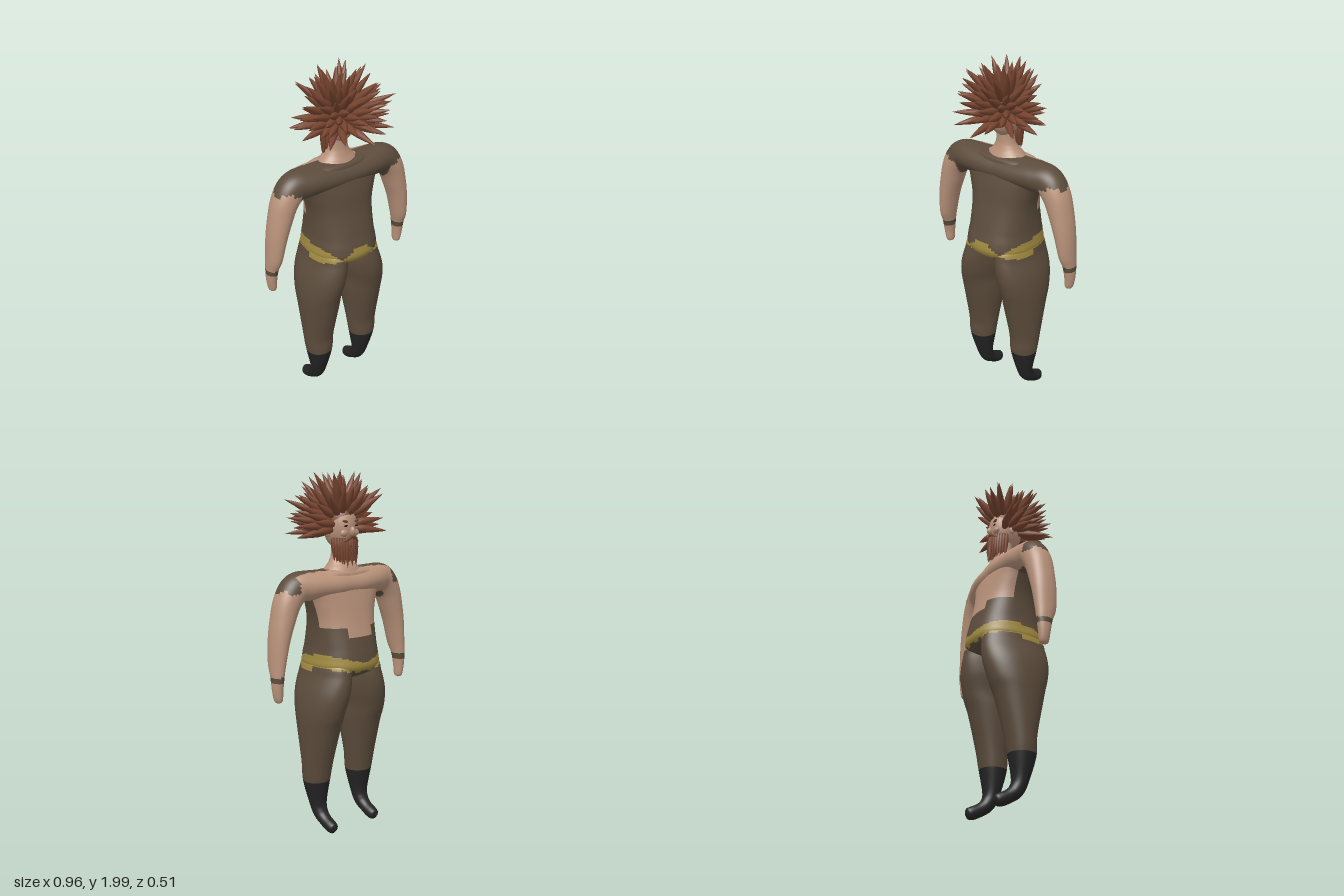
import * as THREE from 'three';

const mat = (name, color) => {
  const m = new THREE.MeshStandardMaterial({ color });
  m.name = name;
  return m;
};
const V = (x, y, z) => new THREE.Vector3(x, y, z);

// Which colour a point of the body has: 0 suit, 1 skin, 2 belt, 3 boots
function paint(x, y, z) {
  const ax = Math.abs(x);
  if (y < 0.292) return 3;
  if (ax > 0.3) { // sleeves, bare arms and wristbands
    if (y > 0.905 && y < 0.935) return 0;
    const cut = 1.365 + (Math.sin(z * 75) > 0 ? 0.02 : 0);
    if (y < cut) return 1;
  }
  if (ax < 0.3 && y < 1.05) { // belt with a pointed outline
    let top, bottom;
    if (z > -0.045) {
      const k = Math.min(1, Math.abs(ax - 0.11) / 0.08);
      top = 0.95 + 0.06 * k;
      bottom = 0.945 - (ax < 0.11 ? 0.045 : 0.02) * k;
    } else {
      top = 0.975 + 0.045 * Math.min(1, ax / 0.17);
      bottom = 0.92 + 0.02 * Math.min(1, ax / 0.17) + (Math.sin(ax * 110) > 0 ? 0.012 : 0);
    }
    return y > bottom && y < top ? 2 : 0;
  }
  // Open chest and neckline
  if (z < -0.08 && ax < 0.33 && y > (ax < 0.08 ? 1.11 : 1.16)) return 1;
  if (y > 1.45 && (x / 0.11) ** 2 + ((z + 0.06) / 0.08) ** 2 < 1) return 1;
  return 0;
}

// Smooth skin through stations [x, y, z, radius across, radius in depth]
function loft(stations, { power = 1, forwardBend = false, side = 1, colour = paint } = {}) {
  const path = new THREE.CatmullRomCurve3(stations.map(s => V(s[0] * side, s[1], s[2])), false, 'catmullrom');
  const size = new THREE.CatmullRomCurve3(stations.map(s => V(s[3], s[4], 0)), false, 'catmullrom');
  const rows = (stations.length - 1) * 8, n = 64;
  const pos = [], buckets = [[], [], [], []];
  const bend = c => Math.sign(c) * Math.abs(c) ** power;
  for (let i = 0; i <= rows; i++) {
    const t = i / rows, c = path.getPoint(t), r = size.getPoint(t), T = path.getTangent(t);
    const u = V(1, 0, 0), v = V(0, 0, 1);
    if (forwardBend) v.crossVectors(u, T).normalize();
    else u.crossVectors(T, v).normalize();
    for (let j = 0; j < n; j++) {
      const a = j / n * Math.PI * 2;
      const p = c.clone()
        .addScaledVector(u, Math.max(r.x, 0.001) * bend(Math.cos(a)))
        .addScaledVector(v, Math.max(r.y, 0.001) * bend(Math.sin(a)));
      pos.push(p.x, p.y, p.z);
    }
  }
  for (let i = 0; i < rows; i++) for (let j = 0; j < n; j++) {
    const a = i * n + j, b = i * n + (j + 1) % n, c = a + n, d = b + n;
    const mid = k => (pos[a * 3 + k] + pos[b * 3 + k] + pos[c * 3 + k] + pos[d * 3 + k]) / 4;
    buckets[colour(mid(0), mid(1), mid(2))].push(a, c, b, b, c, d);
  }
  const g = new THREE.BufferGeometry();
  g.setAttribute('position', new THREE.Float32BufferAttribute(pos, 3));
  g.setIndex(buckets.flat());
  let start = 0;
  buckets.forEach((b, k) => { if (b.length) g.addGroup(start, b.length, k); start += b.length; });
  g.computeVertexNormals();
  return g;
}

export function createModel() {
  const model = new THREE.Group();
  model.name = 'figure';
  const suit = mat('suit brown', 0x5c4c3c), skin = mat('skin', 0xb8927a), gold = mat('belt gold', 0xa08a40);
  const boot = mat('boot black', 0x242424), hair = mat('hair red brown', 0x784530), dark = mat('eye dark', 0x2e211b);
  const bodyMats = [suit, skin, gold, boot];
  const add = (name, geo, material, parent = model) => {
    const m = new THREE.Mesh(geo, material);
    m.name = name;
    parent.add(m);
    return m;
  };

  // Torso
  add('torso', loft([
    [0, 0.85, -0.045, 0.001, 0.001], [0, 0.87, -0.045, 0.05, 0.08], [0, 0.91, -0.045, 0.15, 0.175],
    [0, 0.95, -0.045, 0.195, 0.208], [0, 1.0, -0.045, 0.195, 0.205], [0, 1.07, -0.047, 0.188, 0.188],
    [0, 1.2, -0.047, 0.192, 0.154], [0, 1.3, -0.046, 0.22, 0.133], [0, 1.37, -0.047, 0.25, 0.115],
    [0, 1.43, -0.05, 0.235, 0.098], [0, 1.465, -0.052, 0.17, 0.08], [0, 1.478, -0.055, 0.001, 0.001],
  ], { power: 0.85 }), bodyMats);

  for (const side of [1, -1]) {
    const label = side > 0 ? 'left' : 'right';
    // Leg and boot, from toe to hip
    add(label + 'Leg', loft([
      [0.155, 0.034, -0.184, 0.001, 0.001], [0.155, 0.037, -0.172, 0.026, 0.028], [0.155, 0.043, -0.145, 0.034, 0.035],
      [0.155, 0.066, -0.098, 0.036, 0.035], [0.155, 0.1, -0.058, 0.042, 0.04], [0.156, 0.16, -0.035, 0.052, 0.046],
      [0.158, 0.29, -0.025, 0.078, 0.075], [0.157, 0.4, -0.032, 0.09, 0.088], [0.15, 0.6, -0.037, 0.11, 0.138],
      [0.147, 0.7, -0.042, 0.113, 0.17], [0.13, 0.8, -0.044, 0.115, 0.193], [0.11, 0.9, -0.045, 0.1, 0.192],
      [0.1, 0.98, -0.045, 0.085, 0.16], [0.09, 1.05, -0.045, 0.001, 0.001],
    ], { forwardBend: true, side }), bodyMats);
    // Arm, from hand to shoulder
    add(label + 'Arm', loft([
      [0.443, 0.79, -0.057, 0.001, 0.001], [0.444, 0.803, -0.057, 0.02, 0.025], [0.448, 0.86, -0.056, 0.028, 0.034],
      [0.446, 0.93, -0.052, 0.032, 0.045], [0.438, 1.0, -0.04, 0.04, 0.06], [0.42, 1.12, -0.036, 0.052, 0.07],
      [0.395, 1.22, -0.035, 0.063, 0.075], [0.36, 1.32, -0.035, 0.074, 0.079], [0.305, 1.384, -0.037, 0.083, 0.084],
      [0.22, 1.394, -0.043, 0.08, 0.105], [0.1, 1.391, -0.05, 0.08, 0.12], [0, 1.39, -0.05, 0.08, 0.12],
    ], { side }), bodyMats);
  }

  // Neck
  add('neck', loft([
    [0, 1.45, -0.055, 0.13, 0.09], [0, 1.48, -0.055, 0.1, 0.075], [0, 1.51, -0.05, 0.073, 0.058],
    [0, 1.55, -0.045, 0.056, 0.045], [0, 1.64, -0.045, 0.052, 0.045],
  ], { colour: () => 1 }), bodyMats);

  // Head, scalp and ears
  const centre = V(0, 1.7, -0.04);
  const head = new THREE.Group();
  head.name = 'head';
  model.add(head);
  const blob = (name, p, s, material) => {
    const m = add(name, new THREE.SphereGeometry(1, 24, 16), material, head);
    m.position.set(...p);
    m.scale.set(...s);
    return m;
  };
  blob('skull', centre.toArray(), [0.085, 0.128, 0.1], skin);
  const scalp = add('scalp', new THREE.SphereGeometry(1, 32, 16, 0, Math.PI * 2, 0, Math.PI * 0.5).rotateX(0.5), hair, head);
  scalp.position.copy(centre);
  scalp.scale.set(0.09, 0.134, 0.105);
  blob('nose', [0, 1.675, -0.14], [0.014, 0.025, 0.02], skin);
  blob('jawHair', [0, 1.61, -0.085], [0.07, 0.045, 0.055], hair);
  for (const s of [1, -1]) {
    blob('ear', [0.085 * s, 1.67, -0.04], [0.012, 0.03, 0.018], skin);
    blob('cheek', [0.038 * s, 1.665, -0.12], [0.025, 0.02, 0.016], skin);
    blob('eye', [0.034 * s, 1.703, -0.131], [0.015, 0.005, 0.004], dark);
    blob('eyebrow', [0.036 * s, 1.727, -0.128], [0.022, 0.007, 0.007], hair).rotation.z = 0.2 * s;
  }

  // Tapered strand used for hair and beard
  const strand = new THREE.LatheGeometry(
    [[0.6, 0], [0.95, 0.18], [1, 0.35], [0.75, 0.6], [0.38, 0.83], [0, 1]].map(p => new THREE.Vector2(...p)), 8);
  const spike = (name, from, to, radius, parent) => {
    const m = add(name, strand, hair, parent);
    const d = to.clone().sub(from), len = d.length();
    m.position.copy(from);
    m.scale.set(radius, len, radius);
    m.quaternion.setFromUnitVectors(V(0, 1, 0), d.normalize());
  };
  let seed = 7;
  const rand = () => (seed = (seed * 16807) % 2147483647) / 2147483647;

  // Spiky hair all round the head, leaving the face clear
  const mane = new THREE.Group();
  mane.name = 'hair';
  model.add(mane);
  const total = 170, hub = V(0, 1.72, -0.025);
  for (let i = 0; i < total; i++) {
    const y = 1 - 2 * (i + 0.5) / total, r = Math.sqrt(1 - y * y), a = i * 2.39996;
    const d = V(r * Math.cos(a), y, r * Math.sin(a));
    const length = 0.235 + 0.065 * rand();
    if (d.y < -0.33 || (d.z < -0.25 && d.y < 0.48 && Math.abs(d.x) < 0.85)) continue;
    const tip = hub.clone().addScaledVector(d, length);
    tip.x += (rand() - 0.5) * 0.04;
    tip.z = Math.max(tip.z + (rand() - 0.5) * 0.04, -0.245);
    tip.y = Math.min(tip.y, 1.985);
    const root = centre.clone().add(V(d.x * 0.07, d.y * 0.1 + 0.005, d.z * 0.08));
    spike('hairSpike', root, tip, 0.022, mane);
  }
  spike('crownSpike', V(0.02, 1.79, -0.05), V(0.05, 2.0, -0.1), 0.022, mane);

  // Beard strands hanging from the jaw
  const beard = new THREE.Group();
  beard.name = 'beard';
  model.add(beard);
  for (let row = 0; row < 2; row++) for (let i = 0; i < 15; i++) {
    const a = (i / 14 - 0.5) * 2.7, k = 1 - row * 0.25;
    const sx = Math.sin(a) * 0.075 * k, sz = -0.05 - Math.cos(a) * 0.085 * k;
    spike('beardStrand', V(sx, 1.64 - row * 0.02, sz), V(sx * 0.95, 1.475 + rand() * 0.045, sz - 0.008), 0.013, beard);
  }
  for (const s of [1, -1]) spike('moustache', V(0, 1.648, -0.142), V(0.06 * s, 1.615, -0.125), 0.011, beard);

  return model;
}
